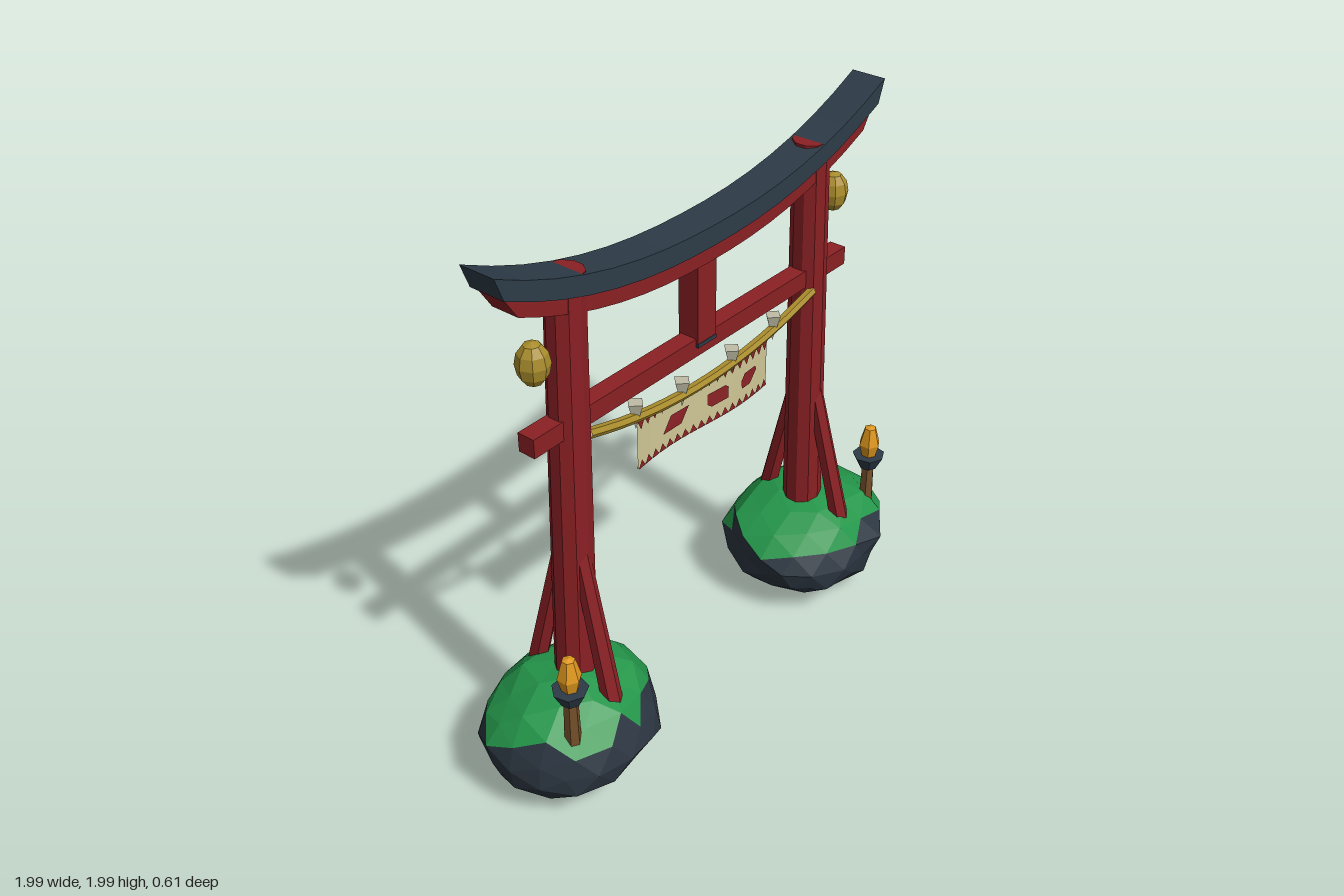
import * as THREE from 'three';
import { mergeGeometries } from 'three/addons/utils/BufferGeometryUtils.js';

const paint = (name, color, extra = {}) => {
  const m = new THREE.MeshStandardMaterial({ color, flatShading: true, ...extra });
  m.name = name;
  return m;
};
const V = (x, y, z) => new THREE.Vector3(x, y, z);

export function createModel() {
  const red = paint('red lacquer', 0x8a2024);
  const slate = paint('slate', 0x2d3b47);
  const stone = paint('stone', 0x2b3540);
  const grass = paint('grass', 0x24964a);
  const gold = paint('gold', 0xa98c2c);
  const wood = paint('torch wood', 0x74502a);
  const fire = paint('flame', 0xe0981e);
  const cream = paint('cream cloth', 0xd0c796, { side: THREE.DoubleSide });
  const dye = paint('red dye', 0x8c2226, { side: THREE.DoubleSide });
  const paper = paint('paper', 0xbfbda6);

  const model = new THREE.Group();
  const gate = new THREE.Group();
  gate.name = 'gate';
  gate.position.set(-0.008, 0, 0.007);
  model.add(gate);

  const add = (name, geometry, material, x = 0, y = 0, z = 0, parent = gate) => {
    const mesh = new THREE.Mesh(geometry, material);
    mesh.name = name;
    mesh.position.set(x, y, z);
    parent.add(mesh);
    return mesh;
  };

  // Straight post between two points
  const post = (name, a, b, rBottom, rTop, sides) => {
    const dir = b.clone().sub(a);
    const mesh = add(name, new THREE.CylinderGeometry(rTop, rBottom, dir.length(), sides), red);
    mesh.position.copy(a).add(b).multiplyScalar(0.5);
    mesh.quaternion.setFromUnitVectors(V(0, 1, 0), dir.normalize());
  };

  // Upswept beam: each edge is [half length, middle height, end height]
  const sweptBeam = (name, top, bottom, depth, material) => {
    const edge = ([half, mid, end], dir) => Array.from({ length: 17 }, (_, i) => {
      const t = dir * (i / 8 - 1);
      return new THREE.Vector2(t * half, mid + (end - mid) * Math.abs(t) ** 2.25);
    });
    const shape = new THREE.Shape([...edge(bottom, 1), ...edge(top, -1)]);
    const geo = new THREE.ExtrudeGeometry(shape, { depth, bevelEnabled: false });
    add(name, geo.translate(0, 0, -depth / 2), material);
  };
  sweptBeam('roofBeam', [0.912, 1.805, 2.0], [0.882, 1.735, 1.92], 0.13, slate);
  sweptBeam('underBeam', [0.866, 1.737, 1.908], [0.822, 1.675, 1.84], 0.1, red);

  // Cross beam and middle strut
  add('tieBeam', new THREE.BoxGeometry(1.564, 0.066, 0.064), red, 0, 1.378);
  add('strut', new THREE.BoxGeometry(0.09, 0.31, 0.08), red, 0, 1.545);
  add('strutFoot', new THREE.BoxGeometry(0.092, 0.014, 0.084), slate, 0, 1.388);

  // Pillars, braces and hanging lanterns
  for (const s of [-1, 1]) {
    post('pillar', V(s * 0.633, 0.36, 0), V(s * 0.59, 1.875, 0), 0.073, 0.063, 10);
    for (const f of [-1, 1]) {
      post('brace', V(s * 0.642, 0.37, f * 0.168), V(s * 0.622, 0.94, f * 0.03), 0.036, 0.03, 6);
    }
    const lantern = add('lantern', new THREE.SphereGeometry(0.054, 8, 6), gold, s * 0.733, 1.635, 0);
    lantern.scale.y = 1.33;
  }

  // Sagging rope with paper tassels
  const ropeY = x => 1.245 + 0.085 * (x / 0.57) ** 2;
  const ropeZ = 0.045;
  const ropePoints = Array.from({ length: 9 }, (_, i) => {
    const x = -0.57 + i * 0.1425;
    return V(x, ropeY(x), ropeZ);
  });
  add('rope', new THREE.TubeGeometry(new THREE.CatmullRomCurve3(ropePoints), 16, 0.018, 6), gold);
  for (const x of [-0.352, -0.128, 0.128, 0.352]) {
    add('tassel', new THREE.ConeGeometry(0.032, 0.1, 4).rotateX(Math.PI), paper,
      x, ropeY(x) + 0.003, ropeZ - 0.004);
  }

  // Cloth banner, rippled, with dyed border teeth and plain patches on both faces
  const ripple = (geo, offset) => {
    const p = geo.attributes.position;
    for (let i = 0; i < p.count; i++) p.setZ(i, 0.03 + 0.013 * Math.sin(p.getX(i) * 9) + offset);
    geo.computeVertexNormals();
    return geo;
  };
  const bannerLeft = -0.333, bannerWidth = 0.666, low = 1.06, high = 1.24;
  const cloth = new THREE.PlaneGeometry(bannerWidth, high - low, 20, 1);
  add('banner', ripple(cloth.translate(0, (low + high) / 2, 0), 0), cream);

  const flat = points => new THREE.ShapeGeometry(new THREE.Shape(points.map(p => new THREE.Vector2(...p))));
  const dyed = [];
  const teeth = 18, step = bannerWidth / teeth;
  for (let i = 0; i < teeth; i++) {
    const x = bannerLeft + i * step;
    dyed.push(flat([[x, low], [x + step, low], [x + step / 2, low + 0.03]]));
    dyed.push(flat([[x, high], [x + step / 2, high - 0.035], [x + step, high]]));
  }
  dyed.push(flat([[-0.2, 1.12], [-0.11, 1.12], [-0.075, 1.175], [-0.16, 1.175]]));
  dyed.push(flat([[0.01, 1.135], [0.03, 1.12], [0.11, 1.12], [0.11, 1.162], [0.095, 1.175], [0.01, 1.175]]));
  dyed.push(flat([[0.18, 1.12], [0.225, 1.12], [0.262, 1.16], [0.255, 1.175], [0.195, 1.175], [0.175, 1.15]]));
  const pattern = mergeGeometries(dyed);
  for (const side of [-1, 1]) add('bannerPattern', ripple(pattern.clone(), side * 0.004), dye);

  // Rough boulder: corners pushed by a position hash, upward faces grassed
  const boulder = (x, y, z, size, seed) => {
    const geo = new THREE.IcosahedronGeometry(1, 2).rotateY(seed);
    const p = geo.attributes.position;
    const v = V(0, 0, 0);
    const hash = q => {
      const h = Math.sin(Math.round(q.x * 50) * 12.99 + Math.round(q.y * 50) * 78.23
        + Math.round(q.z * 50) * 37.72 + seed) * 43758.5;
      return h - Math.floor(h);
    };
    for (let i = 0; i < p.count; i++) {
      v.fromBufferAttribute(p, i);
      v.multiplyScalar(0.92 + 0.12 * hash(v)).multiply(size);
      p.setXYZ(i, v.x, v.y, v.z);
    }
    geo.computeVertexNormals();
    const n = geo.attributes.normal;
    for (let i = 0; i < p.count; i += 3) {
      const mid = (p.getY(i) + p.getY(i + 1) + p.getY(i + 2)) / 3;
      const limit = 0.05 + 0.15 * p.getZ(i);
      geo.addGroup(i, 3, n.getY(i) > 0.45 && mid > limit ? 1 : 0);
    }
    add('boulder', geo, [stone, grass], x, y, z, model);
  };
  boulder(-0.678, 0.225, 0.008, V(0.325, 0.218, 0.295), 1.3);
  boulder(0.66, 0.228, 0, V(0.333, 0.215, 0.31), 4.1);

  // Torches standing on the boulders
  for (const s of [-1, 1]) {
    const torch = new THREE.Group();
    torch.name = 'torch';
    torch.position.set(s * 0.828, 0, 0.165);
    gate.add(torch);
    add('torchPole', new THREE.CylinderGeometry(0.024, 0.029, 0.2, 6), wood, 0, 0.42, 0, torch);
    add('torchCup', new THREE.CylinderGeometry(0.061, 0.034, 0.055, 7), slate, 0, 0.528, 0, torch);
    const flame = [[0, 0.53], [0.026, 0.545], [0.041, 0.605], [0.022, 0.675], [0, 0.682]];
    add('flame', new THREE.LatheGeometry(flame.map(q => new THREE.Vector2(...q)), 6), fire, 0, 0, 0, torch);
  }
  return model;
}
